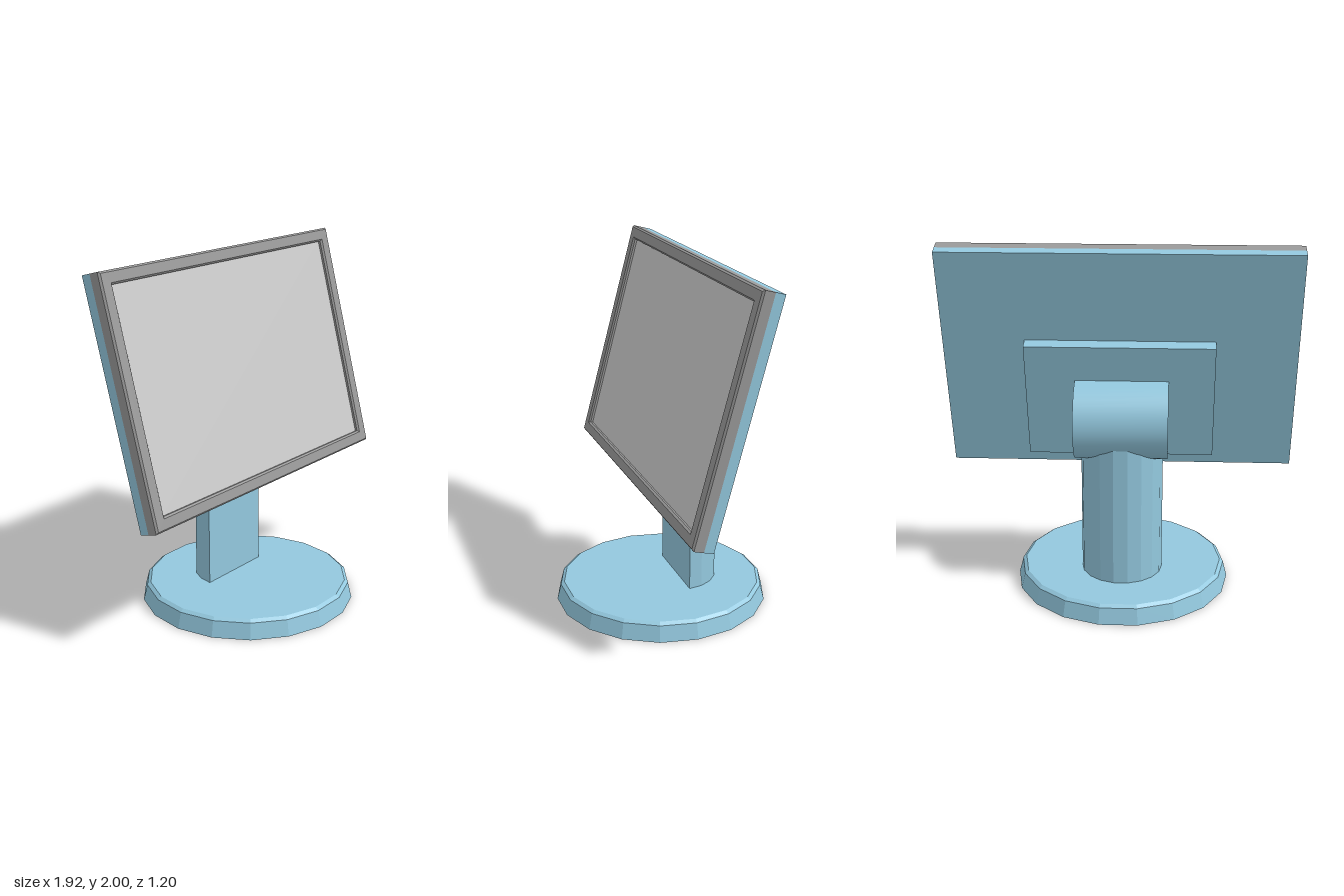
import * as THREE from 'three';
import { toCreasedNormals } from 'three/addons/utils/BufferGeometryUtils.js';

const blue = new THREE.MeshStandardMaterial({ color: 0x93c8de });
const facetedBlue = new THREE.MeshStandardMaterial({ color: 0x93c8de, flatShading: true });
const darkGrey = new THREE.MeshStandardMaterial({ color: 0x999999 });
const grey = new THREE.MeshStandardMaterial({ color: 0xcccccc });

const TILT = THREE.MathUtils.degToRad(-15);
const AXIS_X = -0.01; // shared centre line of base, column and hinge
const W = 1.92, H = 1.325;

function part(parent, name, geometry, material, x = 0, y = 0, z = 0) {
  const mesh = new THREE.Mesh(geometry, material);
  mesh.name = name;
  mesh.position.set(x, y, z);
  parent.add(mesh);
  return mesh;
}

function trace(path, hw, hh) {
  return path.moveTo(-hw, -hh).lineTo(hw, -hh).lineTo(hw, hh).lineTo(-hw, hh).closePath();
}

// Rectangular ring in the xy plane, given outer and inner half sizes
function ring(ow, oh, iw, ih, options) {
  const shape = trace(new THREE.Shape(), ow, oh);
  shape.holes.push(trace(new THREE.Path(), iw, ih));
  return new THREE.ExtrudeGeometry(shape, options);
}

export function createModel() {
  const model = new THREE.Group();
  model.name = 'monitor';

  // Eighteen-sided foot with sloping wall and small chamfer
  const profile = [[0, 0], [0.61, 0], [0.587, 0.09], [0.567, 0.105], [0, 0.105]]
    .map(([r, y]) => new THREE.Vector2(r, y));
  part(model, 'base', new THREE.LatheGeometry(profile, 18), facetedBlue, AXIS_X)
    .rotation.y = Math.PI / 18;

  // Column: flat front, half-round faceted back
  const half = new THREE.Shape();
  for (let i = 0; i <= 9; i++) {
    const a = (i * Math.PI) / 9, x = 0.228 * Math.cos(a), y = 0.228 * Math.sin(a);
    if (i) half.lineTo(x, y); else half.moveTo(x, y);
  }
  half.closePath();
  const columnGeo = new THREE.ExtrudeGeometry(half, { depth: 0.86, bevelEnabled: false });
  columnGeo.rotateX(-Math.PI / 2);
  part(model, 'column', columnGeo, facetedBlue, AXIS_X, 0.09, -0.095);

  // Tilted display head
  const head = new THREE.Group();
  head.name = 'displayHead';
  head.position.set(0, 1.344, -0.045);
  head.rotation.x = TILT;
  model.add(head);

  part(head, 'backCover', new THREE.BoxGeometry(W, H, 0.055), blue, 0, 0, -0.0325);
  part(head, 'frontBezel', ring(W / 2, H / 2, 0.902, 0.608, {
    depth: 0.055, bevelEnabled: true, bevelSize: 0.01, bevelOffset: 0,
    bevelThickness: 0.01, bevelSegments: 1,
  }).scale(W / (W + 0.02), H / (H + 0.02), 1), darkGrey, 0, 0, -0.005);
  part(head, 'screenSurround', ring(0.905, 0.613, 0.894, 0.6,
    { depth: 0.055, bevelEnabled: false }), blue, 0, 0, -0.006);
  part(head, 'screen', new THREE.BoxGeometry(1.79, 1.202, 0.045), grey, 0, 0, 0.0145);
  part(head, 'mountingPlate', new THREE.BoxGeometry(1.03, 0.7, 0.08), blue, 0, -0.207, -0.092);

  // Hinge barrel, cut flat where it meets the plate
  const a = THREE.MathUtils.degToRad(78.5);
  const barrel = new THREE.Shape();
  barrel.absarc(0, 0, 0.222, a, 2 * Math.PI - a, false);
  barrel.closePath();
  let hingeGeo = new THREE.ExtrudeGeometry(barrel, { depth: 0.51, bevelEnabled: false, curveSegments: 12 });
  hingeGeo.rotateY(-Math.PI / 2).translate(0.255, 0, 0);
  hingeGeo = toCreasedNormals(hingeGeo, 0.6);
  part(head, 'hingeBarrel', hingeGeo, blue, AXIS_X, -0.285, -0.1695);

  return model;
}
